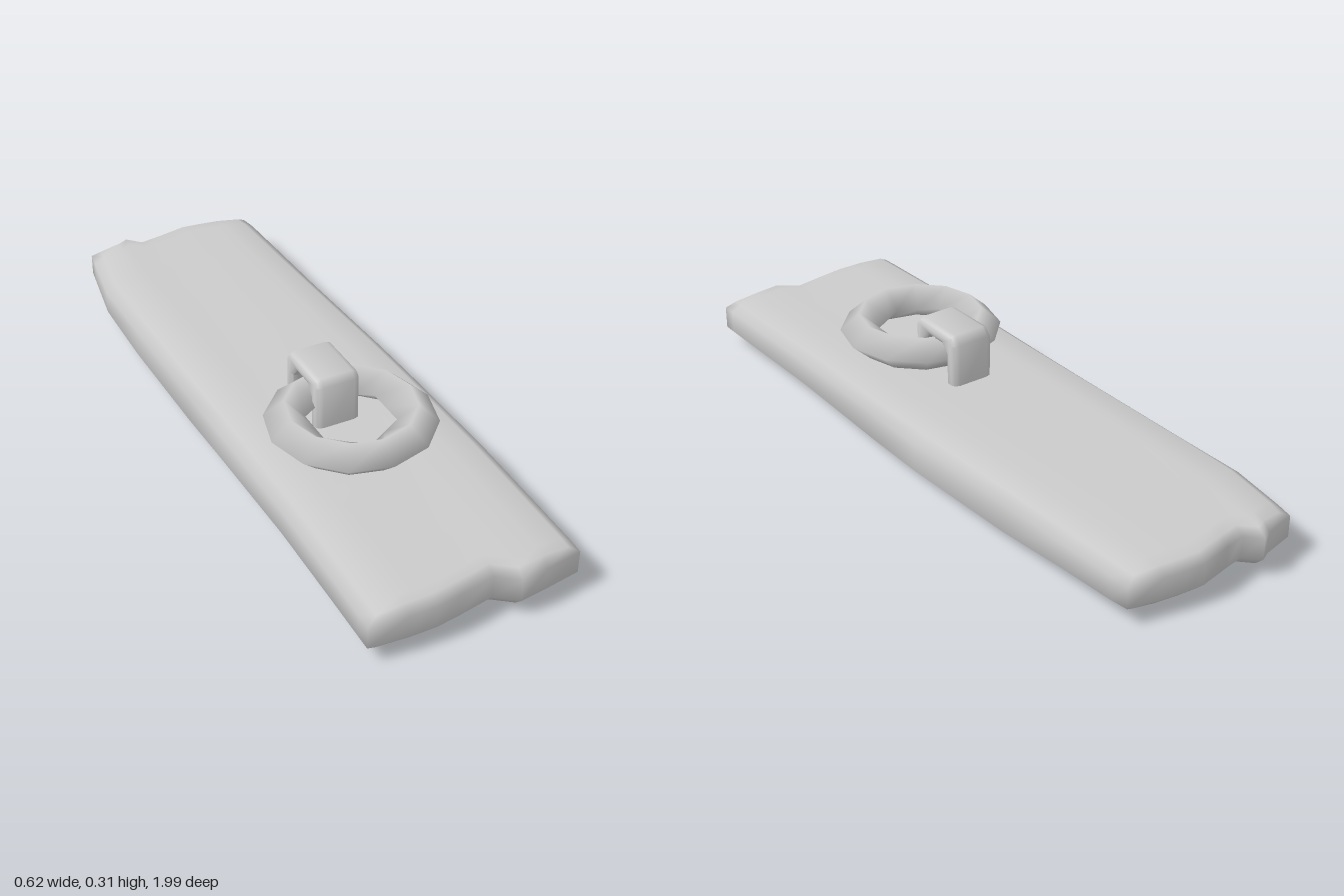
import * as THREE from 'three';
import { mergeVertices, toCreasedNormals } from 'three/addons/utils/BufferGeometryUtils.js';

const grey = new THREE.MeshStandardMaterial({ color: 0xcccccc });

function part(name, geometry) {
  const mesh = new THREE.Mesh(geometry, grey);
  mesh.name = name;
  return mesh;
}

// Broken ends: columns across the plank with the z of each end
const COLUMNS = [
  // x, back z, front z
  [-0.31, -0.975, 0.975], [-0.2, -0.985, 0.975], [-0.165, -1.0, 0.975],
  [-0.12, -0.96, 0.975], [-0.05, -0.97, 0.965], [0.06, -0.99, 0.945],
  [0.12, -0.985, 0.99], [0.2, -0.975, 0.98], [0.31, -0.965, 0.975],
];

// Stations along the plank: z, left edge, right edge, bottom, top
const STATIONS = [
  [-1, -0.27, 0.27, 0.03, 0.14], [-0.93, -0.28, 0.276, 0.027, 0.144],
  [-0.75, -0.31, 0.282, 0.02, 0.145], [-0.5, -0.31, 0.29, 0.002, 0.148],
  [-0.1, -0.308, 0.305, 0.004, 0.151], [0.1, -0.306, 0.308, 0.012, 0.153],
  [0.5, -0.306, 0.308, 0.03, 0.157], [0.8, -0.308, 0.306, 0.028, 0.15],
  [0.94, -0.31, 0.305, 0.028, 0.146], [1, -0.31, 0.303, 0.027, 0.144],
];
const LEVELS = [0, 0.22, 0.8, 1];

// Uneven plank: a box grid moved onto the stations, with worn edges
function plankGeometry() {
  const nx = COLUMNS.length - 1, ny = LEVELS.length - 1, nz = STATIONS.length - 1;
  let g = new THREE.BoxGeometry(2, 2, 2, nx, ny, nz);
  const p = g.attributes.position;
  const index = (v, n) => Math.round((v + 1) / 2 * n);
  for (let n = 0; n < p.count; n++) {
    const i = index(p.getX(n), nx), j = index(p.getY(n), ny), k = index(p.getZ(n), nz);
    const [cx, back, front] = COLUMNS[i];
    const [t, left, right, bottom, top] = STATIONS[k];
    const outerLevel = j === 0 || j === ny;
    const side = i === 0 || i === nx, end = k === 0 || k === nz;
    let x = THREE.MathUtils.mapLinear(cx, -0.31, 0.31, left, right);
    let z = t * (t < 0 ? -back : front);
    let y = THREE.MathUtils.lerp(bottom, top, LEVELS[j]);
    if (outerLevel && side) {
      x -= Math.sign(x) * 0.03;
      y += j === 0 ? 0.006 : -0.006;
    }
    if (outerLevel && end) z -= Math.sign(z) * 0.025;
    if (!outerLevel && side && end) z -= Math.sign(z) * 0.012;
    p.setXYZ(n, x, y, z);
  }
  g.deleteAttribute('normal');
  g.deleteAttribute('uv');
  g = mergeVertices(g);
  g.computeVertexNormals();
  return g;
}

// Coarse ring with a diamond section and a hexagonal hole
function ringGeometry() {
  const radius = 0.182, tube = 0.058;
  const g = new THREE.TorusGeometry(radius, tube, 4, 12);
  const p = g.attributes.position;
  for (let n = 0; n < p.count; n++) {
    const x = p.getX(n), y = p.getY(n);
    const segment = Math.round(Math.atan2(y, x) / (Math.PI / 6));
    const inner = Math.hypot(x, y) < radius - tube / 2;
    const s = inner && segment % 2 === 0 ? 0.866 : 1;
    p.setXYZ(n, x * s, y * s, p.getZ(n) * 0.9);
  }
  g.rotateX(Math.PI / 2);
  return g;
}

// Staple: an arch seen from the side, extruded across x with chamfered edges
function stapleGeometry() {
  const arch = new THREE.Shape();
  [[0.05, 0.12], [0.05, 0.282], [0.072, 0.307], [0.228, 0.307], [0.247, 0.288],
    [0.247, 0.12], [0.2, 0.12], [0.2, 0.24], [0.18, 0.265], [0.117, 0.265],
    [0.097, 0.24], [0.097, 0.12]].forEach(([z, y], i) => (i ? arch.lineTo(z, y) : arch.moveTo(z, y)));
  arch.closePath();
  const bevel = 0.02, width = 0.135;
  const g = new THREE.ExtrudeGeometry(arch, {
    depth: width - 2 * bevel, bevelEnabled: true, bevelThickness: bevel,
    bevelSize: bevel * 0.8, bevelOffset: -bevel * 0.8, bevelSegments: 2,
  });
  g.translate(0, 0, -(width - 2 * bevel) / 2);
  g.rotateY(-Math.PI / 2);
  return toCreasedNormals(g, 0.9);
}

export function createModel() {
  const model = new THREE.Group();
  model.name = 'plankWithRing';

  model.add(part('plank', plankGeometry()));

  const ring = part('ring', ringGeometry());
  ring.position.set(-0.01, 0.222, 0.32);
  model.add(ring);

  const staple = part('staple', stapleGeometry());
  staple.position.x = -0.0075;
  model.add(staple);

  return model;
}
